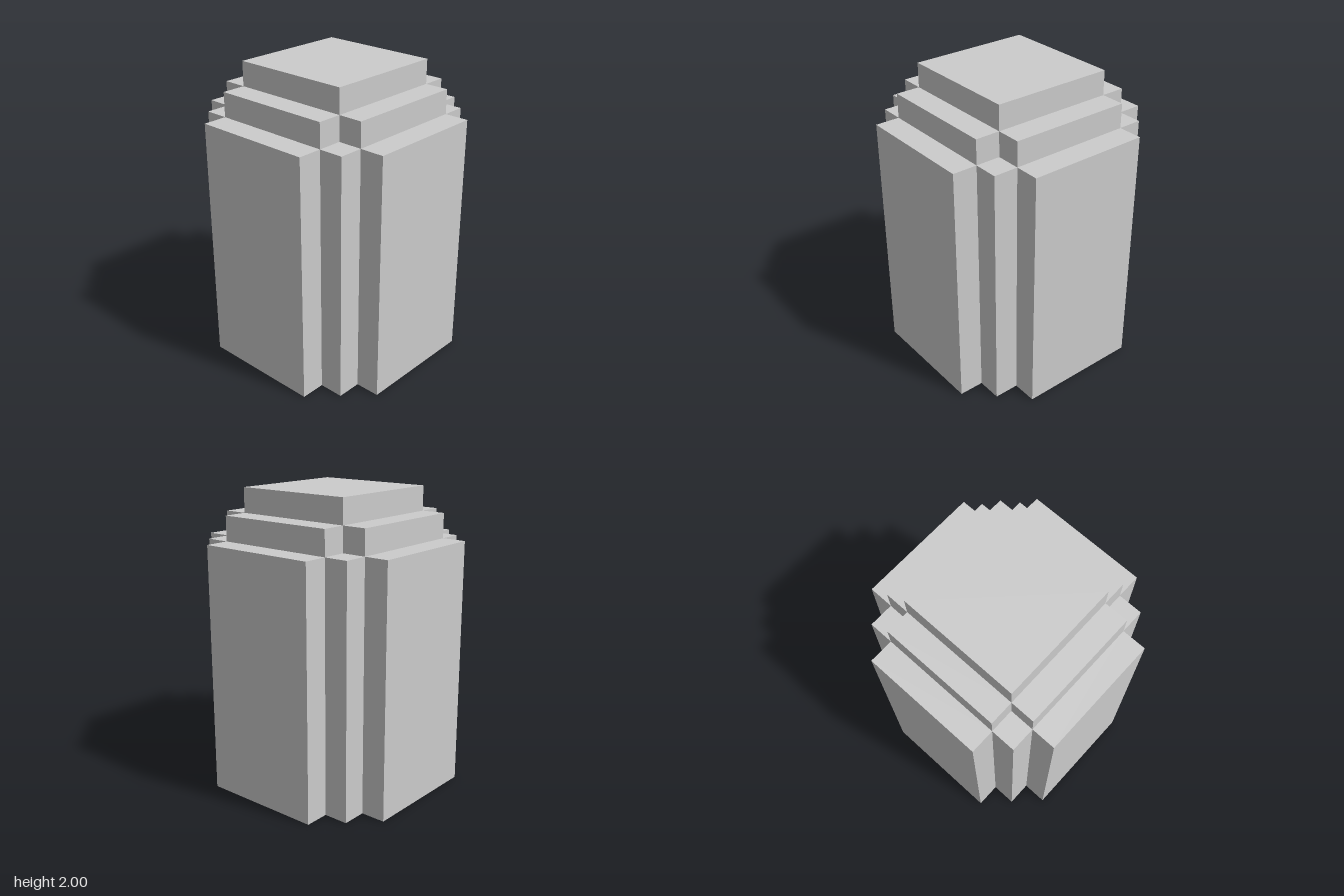
import * as THREE from 'three';

const U = 1 / 6; // one block

export function createModel() {
  const model = new THREE.Group();
  const material = new THREE.MeshStandardMaterial({ color: 0xcccccc, flatShading: true });

  // Box measured in blocks: size, then centre in x and z with its base height
  const addBox = (parent, name, w, h, d, x, base, z) => {
    const mesh = new THREE.Mesh(new THREE.BoxGeometry(w * U, h * U, d * U), material);
    mesh.name = name;
    mesh.position.set(x * U, (base + h / 2) * U, z * U);
    parent.add(mesh);
  };

  // Hollow shell, open below: each side repeats around the vertical axis
  ['front', 'left', 'back', 'right'].forEach((name, i) => {
    const side = new THREE.Group();
    side.name = name + 'Side';
    side.rotation.y = (i * Math.PI) / 2;
    addBox(side, 'wallPanel', 5, 10, 1, 0, 0, 4);
    addBox(side, 'cornerPost', 1, 10, 1, 3, 0, 3);
    addBox(side, 'shoulderStep', 5, 1, 1, 0, 10, 3);
    model.add(side);
  });

  // Cap that closes the top
  addBox(model, 'topSlab', 5, 1, 5, 0, 11, 0);

  return model;
}
